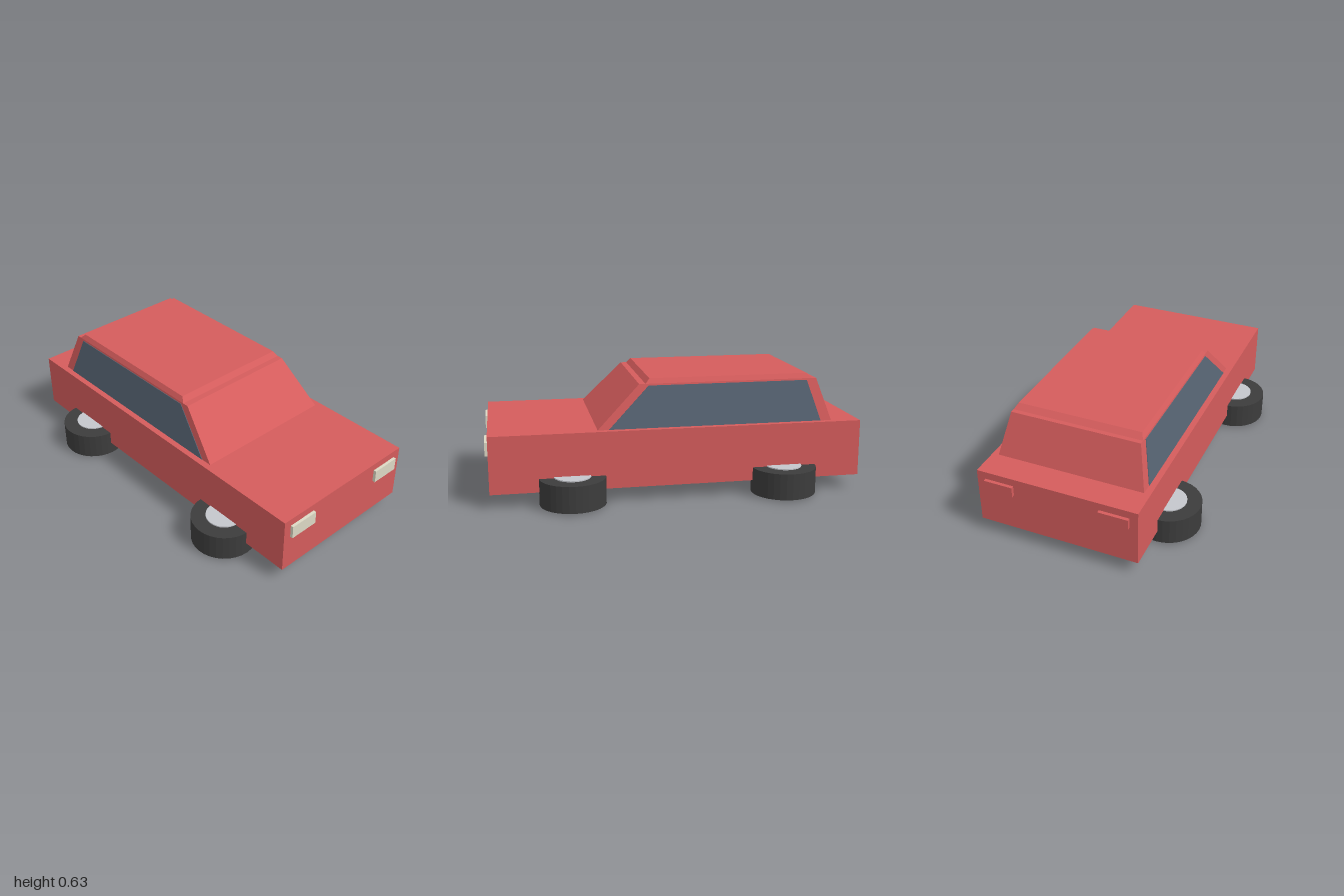
import * as THREE from 'three';

const paint = (color) => new THREE.MeshStandardMaterial({ color, flatShading: true });

// Box with a smaller top: x ranges and half depths at the bottom and top
function taperedBox(y0, y1, bottom, top) {
  const geo = new THREE.BoxGeometry(1, 1, 1);
  const p = geo.attributes.position;
  for (let i = 0; i < p.count; i++) {
    const up = p.getY(i) > 0;
    const [back, front, half] = up ? top : bottom;
    p.setXYZ(i, p.getX(i) > 0 ? front : back, up ? y1 : y0, Math.sign(p.getZ(i)) * half);
  }
  geo.computeVertexNormals();
  return geo;
}

export function createModel() {
  const car = new THREE.Group();
  car.name = 'car';
  const red = paint(0xd45c5c);
  const glass = paint(0x566372);
  const rubber = paint(0x3c3c3c);
  const metal = paint(0xc4c6cc);
  const lamp = paint(0xdcd8c4);

  const add = (name, geo, mat, x = 0, y = 0, z = 0) => {
    const mesh = new THREE.Mesh(geo, mat);
    mesh.name = name;
    mesh.position.set(x, y, z);
    car.add(mesh);
    return mesh;
  };

  // Lower body, cabin and raised roof panel
  add('body', new THREE.BoxGeometry(1.965, 0.302, 0.856), red, 0, 0.227);
  add('cabin', taperedBox(0.378, 0.602, [-0.83, 0.427, 0.394], [-0.755, 0.203, 0.346]), red);
  add('roof', taperedBox(0.602, 0.628, [-0.73, 0.17, 0.346], [-0.702, 0.147, 0.331]), red);

  // Side windows: one thin tapered slab showing just outside both cabin sides
  add('sideWindows', taperedBox(0.379, 0.593, [-0.77, 0.368, 0.397], [-0.702, 0.154, 0.351]), glass);

  const tireGeo = new THREE.CylinderGeometry(0.172, 0.172, 0.14, 32);
  const hubGeo = new THREE.CylinderGeometry(0.095, 0.095, 0.153, 32);
  const headGeo = new THREE.BoxGeometry(0.03, 0.07, 0.16);
  const tailGeo = new THREE.BoxGeometry(0.03, 0.056, 0.155);

  for (const side of [1, -1]) {
    const name = side > 0 ? 'Left' : 'Right';
    // Wheels lie flat, with the hub caps standing slightly proud
    for (const end of [1, -1]) {
      const label = (end > 0 ? 'front' : 'rear') + name;
      add(label + 'Tire', tireGeo, rubber, end * 0.562, 0.077, side * 0.42);
      add(label + 'Hub', hubGeo, metal, end * 0.562, 0.0765, side * 0.42);
    }
    // Lights at both ends
    add('headlight' + name, headGeo, lamp, 0.983, 0.304, side * 0.306);
    add('taillight' + name, tailGeo, red, -0.985, 0.31, side * 0.306);
  }
  return car;
}
